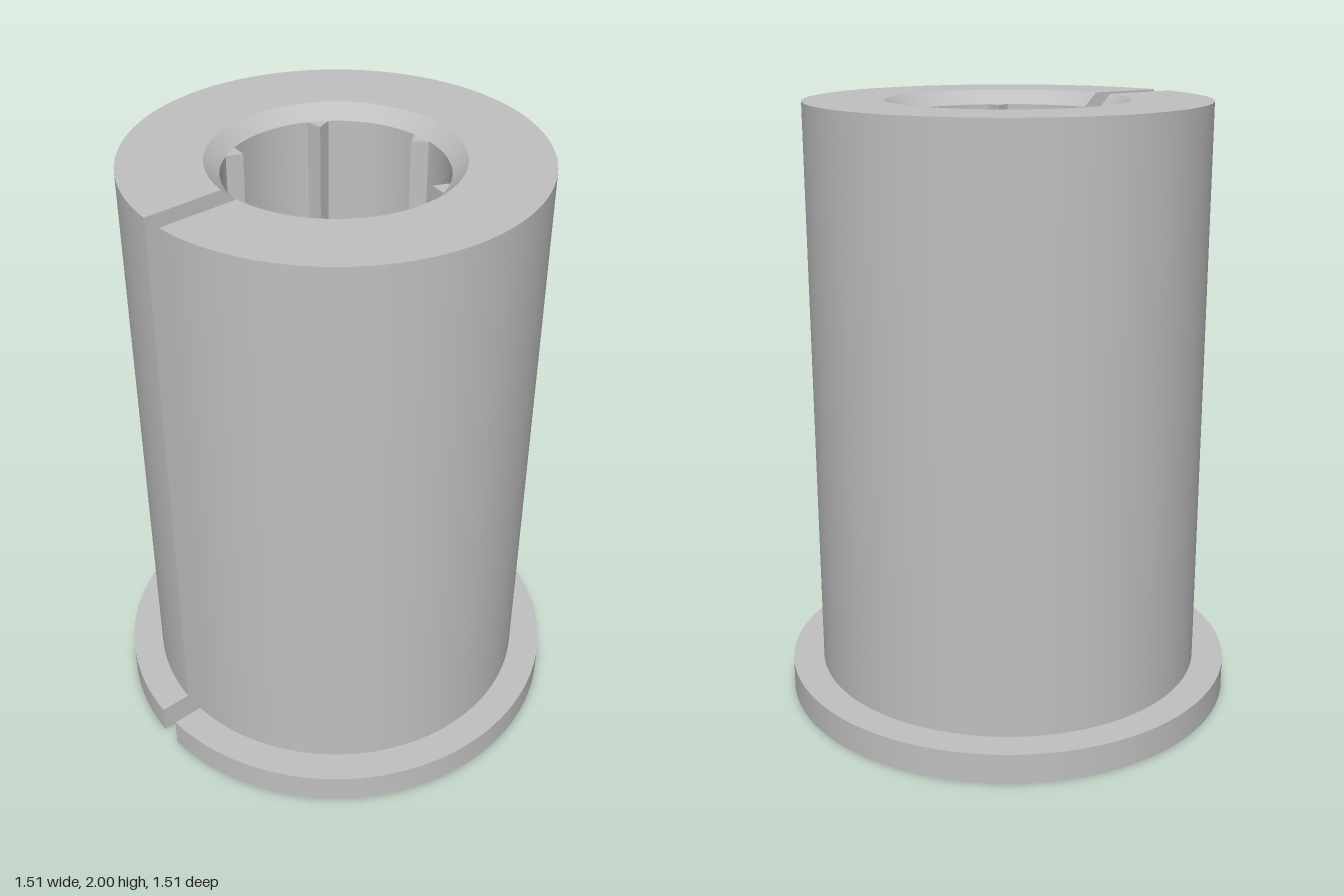
import * as THREE from 'three';

const SLOT = 0.037; // half width of the slot
// Closed section as [radius, height], running counter-clockwise
const SECTION = [
  [0.42, 0], [0.755, 0], [0.755, 0.1], [0.65, 0.1], [0.65, 2],
  [0.391, 2], [0.345, 1.955], [0.345, 0.12],
];
const PARTS = ['flangeUnderside', 'flangeRim', 'flangeTop', 'sleeveOuterWall',
  'sleeveTop', 'topChamfer', 'bore', 'bottomChamfer'];

// Revolved band that stops at the two parallel walls of the slot
function slottedBand(p, q) {
  const geo = new THREE.LatheGeometry([new THREE.Vector2(...p), new THREE.Vector2(...q)], 120);
  const pos = geo.attributes.position, uv = geo.attributes.uv;
  for (let i = 0; i < pos.count; i++) {
    const r = Math.hypot(pos.getX(i), pos.getZ(i));
    const gap = Math.asin(SLOT / r);
    const a = gap + uv.getX(i) * 2 * (Math.PI - gap);
    pos.setX(i, r * Math.sin(a));
    pos.setZ(i, r * Math.cos(a));
  }
  geo.computeVertexNormals();
  return geo;
}

export function createModel() {
  const group = new THREE.Group();
  const grey = new THREE.MeshStandardMaterial({ color: 0xc0c0c0 });
  grey.name = 'light grey';
  const add = (name, geo) => {
    const mesh = new THREE.Mesh(geo, grey);
    mesh.name = name;
    group.add(mesh);
    return mesh;
  };

  // Flanged sleeve, one band per section edge to keep edges sharp
  SECTION.forEach((p, i) => add(PARTS[i], slottedBand(p, SECTION[(i + 1) % SECTION.length])));

  // Flat walls of the slot
  for (const side of [1, -1]) {
    const outline = SECTION.map(([r, y]) =>
      new THREE.Vector2(side * Math.sqrt(r * r - SLOT * SLOT), y));
    const geo = new THREE.ShapeGeometry(new THREE.Shape(outline));
    geo.rotateY(-side * Math.PI / 2);
    geo.translate(side * SLOT, 0, 0);
    add(side > 0 ? 'slotWallLeft' : 'slotWallRight', geo);
  }

  // Five pointed ribs inside the bore, the place of the sixth is the slot
  const ribShape = new THREE.Shape([
    [0, 0.3], [0.033, 0.343], [0.033, 0.36], [-0.033, 0.36], [-0.033, 0.343],
  ].map(([x, y]) => new THREE.Vector2(x, y)));
  const ribGeo = new THREE.ExtrudeGeometry(ribShape, { depth: 1.835, bevelEnabled: false });
  ribGeo.rotateX(-Math.PI / 2);
  ribGeo.translate(0, 0.12, 0);
  for (let k = -2; k <= 2; k++) add('rib' + (k + 3), ribGeo).rotation.y = k * Math.PI / 3;

  return group;
}
